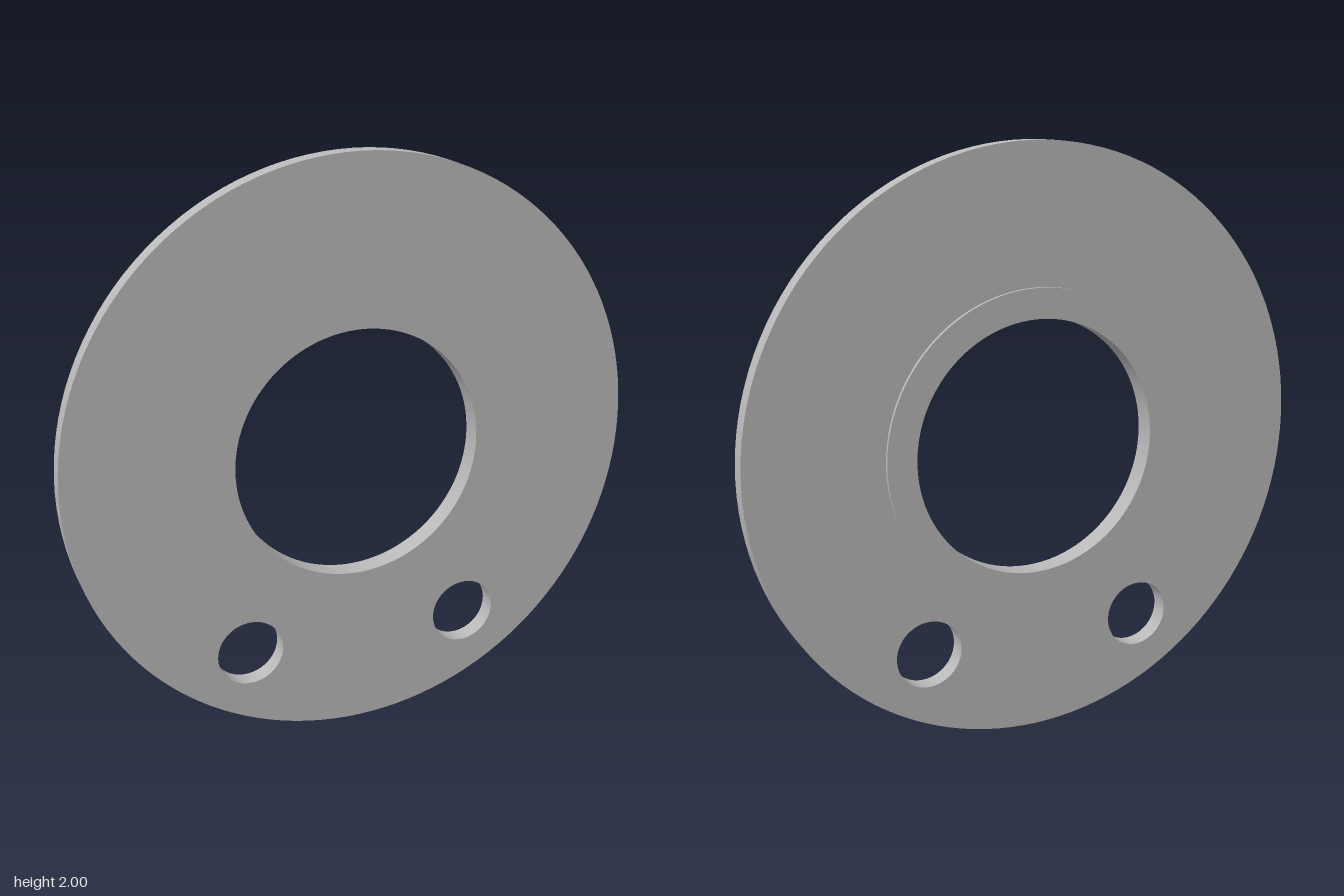
import * as THREE from 'three';
import { toCreasedNormals } from 'three/addons/utils/BufferGeometryUtils.js';

const THICKNESS = 0.063;
const BOSS_HEIGHT = 0.012;
const BORE = 0.433;

// Disc of a given radius, pierced by round holes [x, y, radius], extruded from z0
function piercedDisc(radius, holes, z0, depth) {
  const shape = new THREE.Shape().absarc(0, 0, radius, 0, Math.PI * 2, false);
  for (const [x, y, r] of holes) {
    shape.holes.push(new THREE.Path().absarc(x, y, r, 0, Math.PI * 2, true));
  }
  const geometry = new THREE.ExtrudeGeometry(shape, { depth, bevelEnabled: false, curveSegments: 64 });
  geometry.translate(0, 0, z0);
  return toCreasedNormals(geometry, Math.PI / 6);
}

export function createModel() {
  const metal = new THREE.MeshStandardMaterial({ color: 0xb8b8b8 });
  metal.name = 'grey metal';

  const model = new THREE.Group();
  model.name = 'flangePlate';

  // Main plate with the central bore and two bolt holes
  const bore = [0, 0, BORE];
  const boltHoles = [-1, 1].map((side) => [side * 0.4, -0.663, 0.116]);
  const plate = new THREE.Mesh(
    piercedDisc(1, [bore, ...boltHoles], -THICKNESS / 2, THICKNESS), metal);
  plate.name = 'plate';

  // Low raised ring around the bore on the back face
  const boss = new THREE.Mesh(
    piercedDisc(0.535, [bore], -THICKNESS / 2 - BOSS_HEIGHT, BOSS_HEIGHT), metal);
  boss.name = 'raisedRing';

  // Stand the disc upright, turned about the vertical axis
  const disc = new THREE.Group();
  disc.name = 'disc';
  disc.add(plate, boss);
  disc.position.y = 1;
  disc.rotation.y = Math.PI / 3;
  model.add(disc);
  return model;
}
